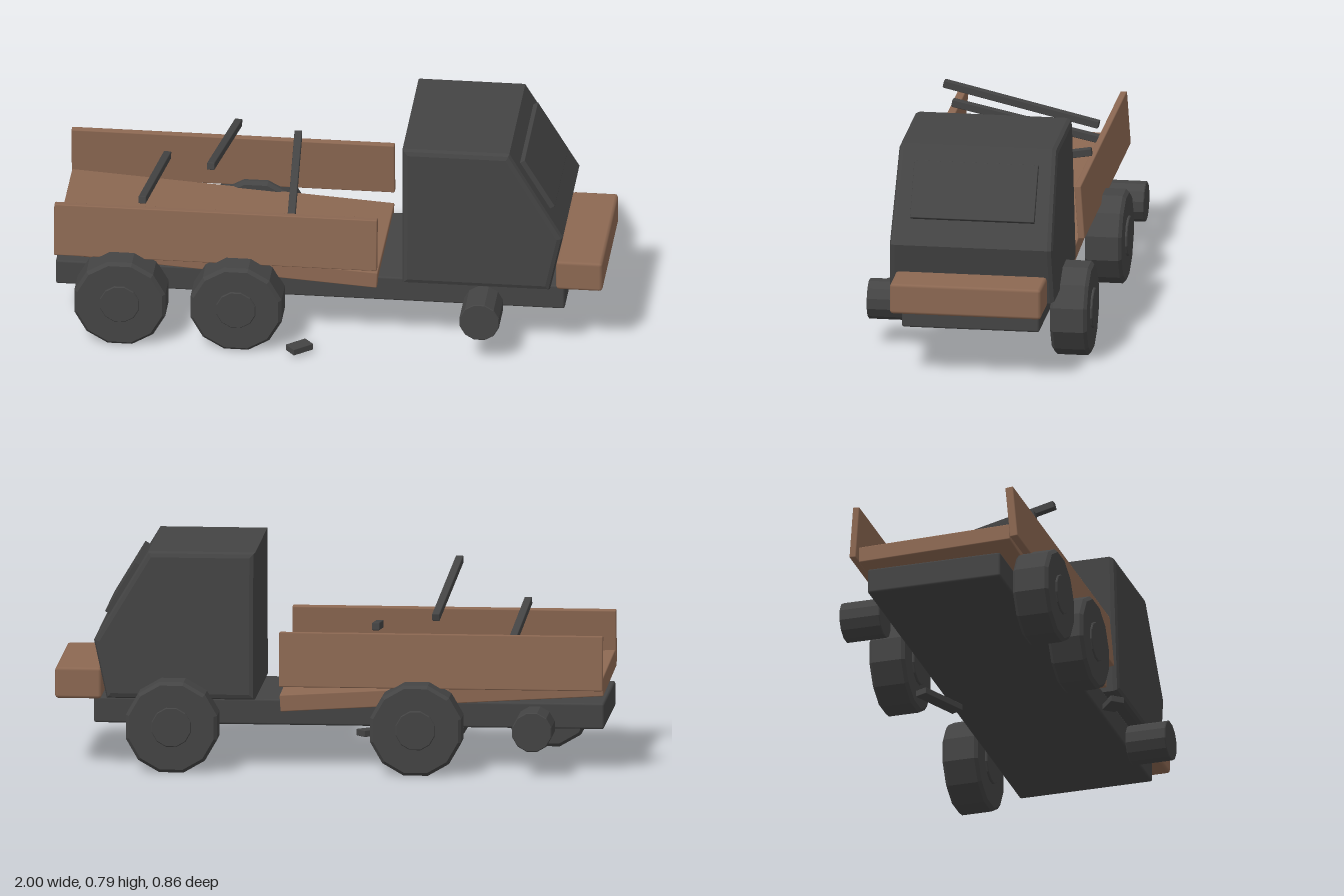
import * as THREE from 'three';
import { RoundedBoxGeometry } from 'three/addons/geometries/RoundedBoxGeometry.js';

const charcoal = new THREE.MeshStandardMaterial({ color: 0x444444 });
charcoal.name = 'charcoal';
const brown = new THREE.MeshStandardMaterial({ color: 0x8c6852 });
brown.name = 'rust brown';

const MID_Z = -0.0175; // centre plane of the truck body

export function createModel() {
  const truck = new THREE.Group();
  truck.name = 'wreckedTruck';

  const add = (name, geometry, material, x, y, z) => {
    const mesh = new THREE.Mesh(geometry, material);
    mesh.name = name;
    mesh.position.set(x, y, z);
    truck.add(mesh);
    return mesh;
  };

  const box = (name, material, size, pos, bevel = 0.006) =>
    add(name, new RoundedBoxGeometry(...size, 1, bevel), material, ...pos);

  // Faceted drum along z with chamfered rims
  const drum = (name, radius, width, bevel, x, y, z) => {
    const h = width / 2;
    const profile = [
      [0, -h], [radius - bevel, -h], [radius, -h + bevel],
      [radius, h - bevel], [radius - bevel, h], [0, h],
    ].map(([r, t]) => new THREE.Vector2(r, t));
    const g = new THREE.LatheGeometry(profile, 12, Math.PI / 12).toNonIndexed();
    g.rotateX(Math.PI / 2);
    g.computeVertexNormals();
    return add(name, g, charcoal, x, y, z);
  };

  // Square rod between two points
  const rod = (name, a, b) => {
    const from = new THREE.Vector3(...a), to = new THREE.Vector3(...b);
    const mid = from.clone().add(to).multiplyScalar(0.5);
    const mesh = box(name, charcoal, [0.028, 0.028, from.distanceTo(to)], mid.toArray(), 0.003);
    mesh.lookAt(to);
    return mesh;
  };

  // Chassis and bumper
  box('chassis', charcoal, [1.86, 0.095, 0.505], [-0.07, 0.207, MID_Z], 0.008);
  box('bumper', brown, [0.17, 0.115, 0.555], [0.915, 0.308, MID_Z], 0.012);

  // Cab: bevelled side profile, narrowing towards the roof
  const outline = [[0.27, 0.257], [0.81, 0.257], [0.857, 0.47], [0.66, 0.797], [0.27, 0.797]];
  const shape = new THREE.Shape(outline.map(([x, y]) => new THREE.Vector2(x, y)));
  const bevel = 0.02, width = 0.61;
  const cab = new THREE.ExtrudeGeometry(shape, {
    depth: width - 2 * bevel, bevelEnabled: true, bevelSize: bevel,
    bevelThickness: bevel, bevelOffset: -bevel, bevelSegments: 2,
  });
  cab.translate(0, 0, -width / 2 + bevel);
  const p = cab.attributes.position;
  for (let i = 0; i < p.count; i++) {
    p.setZ(i, p.getZ(i) * (1 - 0.09 * (p.getY(i) - 0.257)));
  }
  cab.computeVertexNormals();
  add('cab', cab, charcoal, 0, 0, MID_Z);

  // Windscreen panel lying on the sloped front
  const screen = box('windscreen', charcoal, [0.024, 0.215, 0.455], [0.756, 0.652, MID_Z], 0.002);
  screen.rotation.z = Math.atan2(0.197, 0.327);

  // Sagging cargo floor
  const floor = box('cargoFloor', brown, [1.18, 0.062, 0.575], [-0.41, 0.288, -0.015], 0.004);
  floor.rotation.set(-0.025, 0, -0.062);

  // Side boards leaning inwards
  const left = box('sideBoardFront', brown, [1.18, 0.2, 0.03], [-0.41, 0.41, 0.278], 0.004);
  left.rotation.x = -0.09;
  const right = box('sideBoardBack', brown, [1.18, 0.2, 0.025], [-0.41, 0.41, -0.32], 0.004);
  right.rotation.x = 0.07;

  // Hubs on all axles, with two wheels missing
  for (const [side, hubZ, wheelZ] of [[1, 0.32, 0.322], [-1, -0.357, -0.357]]) {
    for (const x of [-0.75, -0.325, 0.565]) {
      drum('hub', 0.074, 0.152, 0.003, x, 0.172, hubZ);
      const missing = side > 0 ? x > 0 : x < -0.5;
      if (!missing) drum('wheel', 0.172, 0.135, 0.012, x, 0.17, wheelZ);
    }
  }

  // Broken canopy bows
  rod('bowRear', [-0.68, 0.54, 0.27], [-0.648, 0.43, -0.295]);
  rod('bowMiddle', [-0.43, 0.69, 0.265], [-0.39, 0.57, -0.31]);
  rod('bowFront', [-0.14, 0.45, 0.245], [-0.172, 0.535, -0.315]);

  // Loose scraps on the ground
  const scrapA = box('scrap', charcoal, [0.085, 0.024, 0.052], [-0.093, 0.028, 0.382], 0.002);
  scrapA.rotation.y = 0.7;
  const scrapB = box('scrap', charcoal, [0.2, 0.024, 0.05], [-0.308, 0.028, -0.213], 0.002);
  scrapB.rotation.y = -0.43;

  return truck;
}
